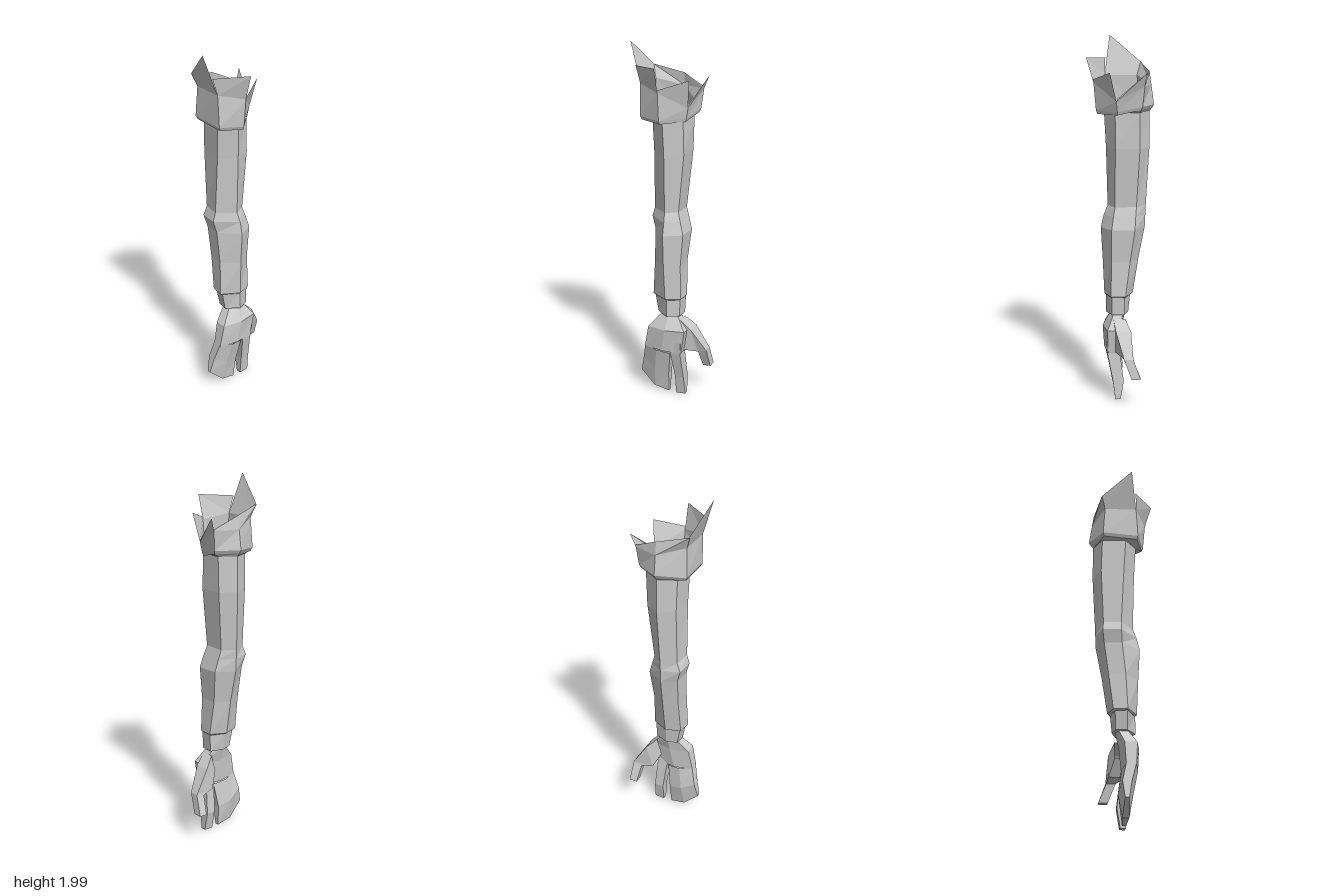
import * as THREE from 'three';

const grey = new THREE.MeshStandardMaterial({ color: 0xcccccc, flatShading: true, side: THREE.DoubleSide });
grey.name = 'plain grey';

// Turns lists of corners into one faceted mesh
function facets(name, polygons) {
  const pos = [];
  for (const p of polygons)
    for (let i = 1; i < p.length - 1; i++) pos.push(...p[0], ...p[i], ...p[i + 1]);
  const g = new THREE.BufferGeometry();
  g.setAttribute('position', new THREE.Float32BufferAttribute(pos, 3));
  g.computeVertexNormals();
  const mesh = new THREE.Mesh(g, grey);
  mesh.name = name;
  return mesh;
}

// Skins rings given from bottom to top, each counterclockwise from above
function loft(name, rings, capBottom = false) {
  const polys = [];
  for (let r = 0; r < rings.length - 1; r++) {
    const a = rings[r], b = rings[r + 1], n = a.length;
    for (let i = 0; i < n; i++) {
      const j = (i + 1) % n;
      polys.push([a[i], a[j], b[j], b[i]]);
    }
  }
  if (capBottom) polys.push([...rings[0]].reverse());
  return facets(name, polys);
}

// Level six-sided ring from [x, z] pairs: left, front pair, right, back pair
const level = (y, pts) => pts.map(([x, z]) => [x, y, z]);

// Four-sided finger section: x range, then y, z of its front and back edges
const box = ([x0, x1, yf, zf, yb, zb]) => [[x0, yf, zf], [x1, yf, zf], [x1, yb, zb], [x0, yb, zb]];

// Six-sided palm section, thickest in the middle
function palmRing([x0, x1, yf, zf, yb, zb, drop = 0]) {
  const c = (x0 + x1) / 2, h = (x1 - x0) * 0.3;
  const ym = (yf + yb) / 2 - drop, zm = (zf + zb) / 2;
  return [[c - h, yf, zf], [c + h, yf, zf], [x1, ym, zm], [c + h, yb, zb], [c - h, yb, zb], [x0, ym, zm]];
}

export function createModel() {
  const arm = new THREE.Group();
  arm.name = 'arm';

  // Sleeve, hollow and open at the shoulder
  const shoulder = level(1.61, [[-0.155, 0], [-0.11, 0.095], [0.02, 0.105], [0.085, 0.02], [0.03, -0.075], [-0.1, -0.085]]);
  arm.add(loft('sleeve', [
    level(0.595, [[-0.05, 0], [-0.03, 0.075], [0.03, 0.08], [0.075, 0], [0.045, -0.065], [-0.02, -0.07]]),
    level(0.605, [[-0.07, 0.005], [-0.045, 0.09], [0.03, 0.1], [0.087, 0.005], [0.055, -0.075], [-0.025, -0.08]]),
    level(0.8, [[-0.1, 0.005], [-0.07, 0.085], [0.02, 0.095], [0.095, 0.01], [0.05, -0.07], [-0.05, -0.07]]),
    level(0.98, [[-0.135, 0.01], [-0.095, 0.09], [0, 0.1], [0.105, 0.01], [0.05, -0.085], [-0.075, -0.085]]),
    level(1.05, [[-0.138, 0.01], [-0.105, 0.11], [-0.005, 0.12], [0.088, 0.01], [0.04, -0.065], [-0.08, -0.065]]),
    level(1.1, [[-0.14, 0.01], [-0.1, 0.09], [-0.005, 0.105], [0.067, 0.015], [0.03, -0.05], [-0.085, -0.05]]),
    level(1.42, [[-0.157, 0], [-0.115, 0.09], [0.01, 0.1], [0.075, 0.015], [0.03, -0.08], [-0.1, -0.08]]),
    shoulder,
  ]));

  // Torn cuff: a closed lower band, then one ragged flap on each side
  const low = [[-0.18, 1.645, 0], [-0.11, 1.63, 0.147], [0.085, 1.62, 0.145], [0.127, 1.612, 0.02], [0.02, 1.615, -0.09], [-0.11, 1.645, -0.118]];
  const mid = [[-0.165, 1.75, 0], [-0.1, 1.79, 0.14], [0.075, 1.79, 0.147], [0.14, 1.76, 0.02], [0.025, 1.67, -0.1], [-0.12, 1.75, -0.13]];
  const under = low.map(([x, y, z]) => [x * 0.94, y - 0.018, z * 0.94]);
  arm.add(loft('cuff', [shoulder, under, low, mid]));
  const flapTops = [
    [[-0.155, 1.82, 0], [-0.12, 1.86, 0.165]],
    [[-0.12, 1.86, 0.16], [0.045, 2, 0.215]],
    [[0.07, 1.88, 0.175], [0.178, 1.89, 0.02]],
    [[0.145, 1.775, 0.02], [0.06, 1.82, -0.12]],
    [[0.02, 1.685, -0.1], [-0.13, 1.82, -0.155]],
    [[-0.122, 1.76, -0.13], [-0.155, 1.82, 0]],
  ];
  arm.add(facets('cuffFlaps', flapTops.map(([start, tip], i) => [mid[i], mid[(i + 1) % 6], tip, start])));

  // Wrist band
  arm.add(loft('wristBand', [
    level(0.5, [[-0.045, 0], [-0.03, 0.06], [0.03, 0.068], [0.08, 0], [0.05, -0.065], [-0.02, -0.07]]),
    level(0.6, [[-0.055, 0], [-0.035, 0.08], [0.03, 0.088], [0.078, 0], [0.048, -0.07], [-0.02, -0.075]]),
  ], true));

  // Palm
  const hand = new THREE.Group();
  hand.name = 'hand';
  hand.add(loft('palm', [
    [0.0, 0.088, 0.29, 0.138, 0.285, -0.085],
    [-0.01, 0.097, 0.42, 0.113, 0.42, -0.105],
    [-0.03, 0.052, 0.505, 0.042, 0.505, -0.045],
  ].map(palmRing), true));

  // Joined outer fingers
  hand.add(loft('joinedFingers', [
    [0.0, 0.035, 0.11, 0.18, 0.01, 0.008, 0.03],
    [-0.02, 0.058, 0.2, 0.16, 0.13, 0.003, 0.01],
    [0.0, 0.085, 0.3, 0.137, 0.27, -0.016],
  ].map(palmRing), true));

  // Forefinger
  hand.add(loft('forefinger', [
    [0.003, 0.032, 0.01, -0.04, 0.015, -0.095],
    [-0.015, 0.045, 0.12, -0.038, 0.12, -0.09],
    [0.005, 0.075, 0.27, -0.023, 0.28, -0.08],
    [0.015, 0.08, 0.35, 0, 0.35, -0.085],
  ].map(box), true));

  // Thumb
  hand.add(loft('thumb', [
    [-0.1, -0.05, 0.175, -0.17, 0.178, -0.215],
    [-0.06, -0.01, 0.275, -0.155, 0.29, -0.205],
    [-0.053, 0.03, 0.29, -0.085, 0.42, -0.125],
    [-0.025, 0.04, 0.38, -0.04, 0.475, -0.068],
  ].map(box), true));
  arm.add(hand);
  return arm;
}
